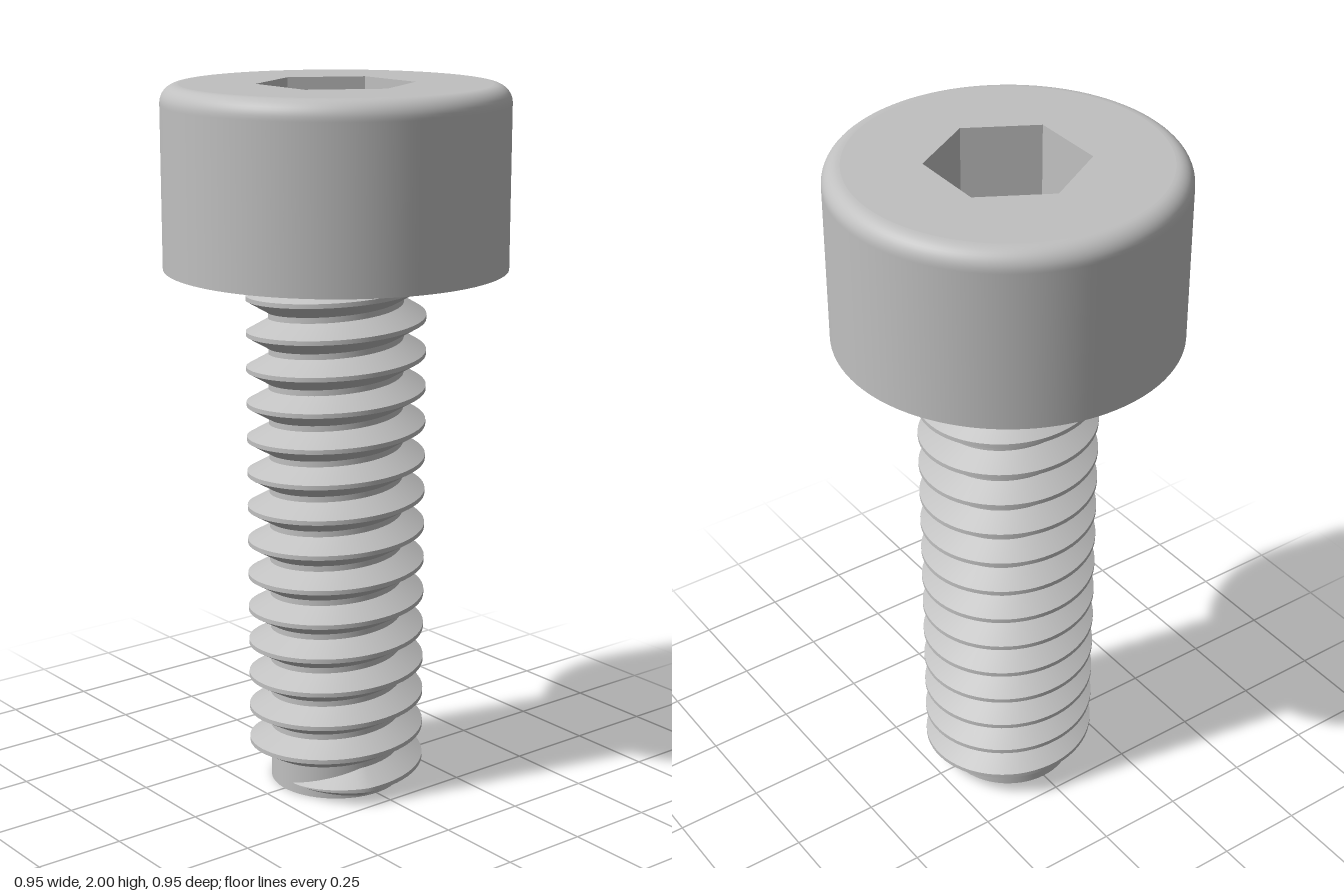
import * as THREE from 'three';

const ROOT = 0.188, CREST = 0.25, PITCH = 0.1;
const HEAD_R = 0.475, HEAD_Y = 1.5, TOP = 2, FILLET = 0.05;
const HEX_R = 0.217, HEX_DEPTH = 0.25;

// Helical strip between two profile edges given as [radius, height offset]
function threadStrip(lower, upper) {
  const perTurn = 64, start = 0.2, end = 15.15 * Math.PI * 2, taper = 1.1;
  const count = Math.ceil((end - start) / (Math.PI * 2) * perTurn);
  const positions = [], index = [];
  for (let i = 0; i <= count; i++) {
    const a = start + (end - start) * i / count;
    const grow = Math.min(1, 0.02 + (a - start) / taper); // run-in at the tip
    for (const [r, dy] of [lower, upper]) {
      const radius = ROOT + (r - ROOT) * grow;
      const y = 0.025 + PITCH * a / (Math.PI * 2) + dy * grow;
      positions.push(radius * Math.sin(a), Math.max(0, y), radius * Math.cos(a));
    }
    if (i < count) {
      const k = i * 2;
      index.push(k, k + 2, k + 3, k, k + 3, k + 1);
    }
  }
  const g = new THREE.BufferGeometry();
  g.setAttribute('position', new THREE.Float32BufferAttribute(positions, 3));
  g.setIndex(index);
  g.computeVertexNormals();
  return g;
}

export function createModel() {
  const steel = new THREE.MeshStandardMaterial({ color: 0xc0c0c0 });
  steel.name = 'steel grey';
  const model = new THREE.Group();
  model.name = 'socketHeadScrew';
  const add = (name, geometry, parent) => {
    const mesh = new THREE.Mesh(geometry, steel);
    mesh.name = name;
    parent.add(mesh);
    return mesh;
  };

  // Shank: plain core wrapped by a right-handed V thread
  const shank = new THREE.Group();
  shank.name = 'shank';
  model.add(shank);
  add('core', new THREE.CylinderGeometry(ROOT, ROOT, HEAD_Y + 0.02, 64), shank).position.y = (HEAD_Y + 0.02) / 2;
  const profile = [[ROOT, -0.042], [CREST, -0.00625], [CREST, 0.00625], [ROOT, 0.042]];
  ['threadLowerFlank', 'threadCrest', 'threadUpperFlank'].forEach((name, i) =>
    add(name, threadStrip(profile[i], profile[i + 1]), shank));

  // Head: straight wall rolling into a rounded top edge
  const head = new THREE.Group();
  head.name = 'head';
  model.add(head);
  const wall = [new THREE.Vector2(HEAD_R, HEAD_Y), new THREE.Vector2(HEAD_R, TOP - FILLET - 0.005)];
  for (let i = 0; i <= 10; i++) {
    const t = i / 10 * Math.PI / 2;
    wall.push(new THREE.Vector2(HEAD_R - FILLET + FILLET * Math.cos(t), TOP - FILLET + FILLET * Math.sin(t)));
  }
  add('headWall', new THREE.LatheGeometry(wall, 96), head);

  const underside = new THREE.CircleGeometry(HEAD_R, 96);
  underside.rotateX(Math.PI / 2);
  add('headUnderside', underside, head).position.y = HEAD_Y;

  // Top face with a hexagonal opening, corners on the x axis
  const hex = [];
  for (let i = 0; i < 6; i++) {
    const a = i * Math.PI / 3;
    hex.push(new THREE.Vector2(HEX_R * Math.cos(a), HEX_R * Math.sin(a)));
  }
  const face = new THREE.Shape().absarc(0, 0, HEAD_R - FILLET, 0, Math.PI * 2);
  face.holes.push(new THREE.Path(hex));
  const faceGeometry = new THREE.ShapeGeometry(face, 48);
  faceGeometry.rotateX(-Math.PI / 2);
  add('headTop', faceGeometry, head).position.y = TOP;

  // Socket: six inward-facing walls and a flat floor
  const socket = new THREE.Group();
  socket.name = 'hexSocket';
  head.add(socket);
  const apothem = HEX_R * Math.cos(Math.PI / 6);
  for (let i = 0; i < 6; i++) {
    const a = i * Math.PI / 3;
    const side = add('socketWall', new THREE.PlaneGeometry(HEX_R, HEX_DEPTH), socket);
    side.position.set(apothem * Math.sin(a), TOP - HEX_DEPTH / 2, apothem * Math.cos(a));
    side.rotation.y = a + Math.PI;
  }
  const floor = new THREE.ShapeGeometry(new THREE.Shape(hex));
  floor.rotateX(-Math.PI / 2);
  add('socketFloor', floor, socket).position.y = TOP - HEX_DEPTH;

  return model;
}
